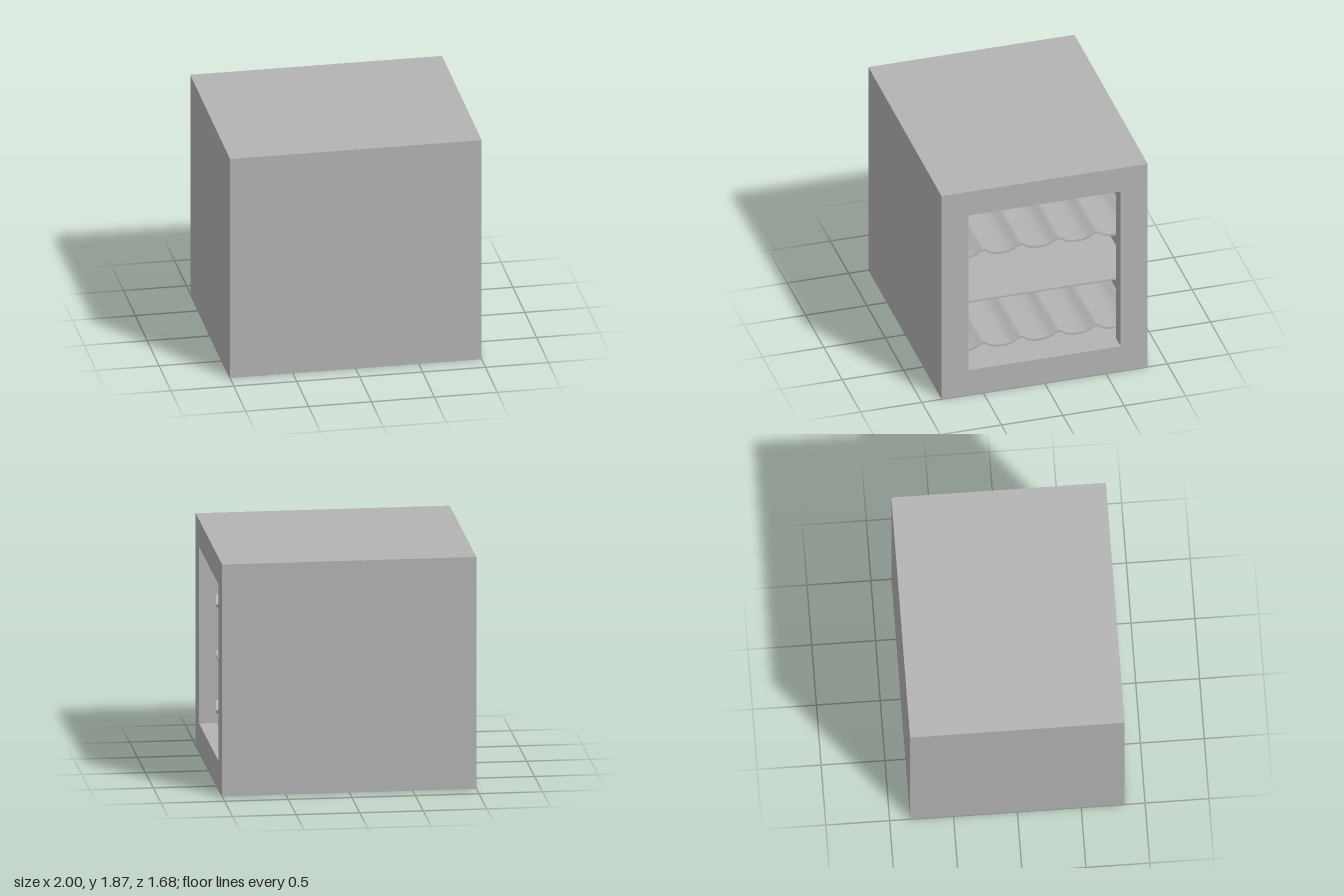
import * as THREE from 'three';
import { toCreasedNormals } from 'three/addons/utils/BufferGeometryUtils.js';

const grey = new THREE.MeshStandardMaterial({ color: 0xb3b3b3 });
grey.name = 'grey';

const LIP = 0.866;    // inner face of the window wall
const BACK = -0.92;   // inner face of the closed end
const HALF = 0.76;    // half width of the cavity

// Rectangular ring in the plane x, corners counter-clockwise seen from +x
const ring = (x, h, y0, y1) => [[x, y0, h], [x, y0, -h], [x, y1, -h], [x, y1, h]];

// Hollow cabinet: outer skin, window rim, reveal and wider cavity
function cabinetGeometry() {
  const rings = [
    ring(-1, 0.84, 0, 1.865),
    ring(1, 0.84, 0, 1.865),
    ring(1, 0.62, 0.228, 1.648),
    ring(LIP, 0.62, 0.228, 1.648),
    ring(LIP, HALF, 0.09, 1.785),
    ring(BACK, HALF, 0.09, 1.785),
  ];
  const pos = [];
  const quad = (a, b, c, d) => pos.push(...a, ...b, ...c, ...a, ...c, ...d);
  for (let i = 0; i < rings.length - 1; i++) {
    const a = rings[i], b = rings[i + 1];
    for (let k = 0; k < 4; k++) {
      const n = (k + 1) % 4;
      quad(a[k], a[n], b[n], b[k]);
    }
  }
  quad(...[...rings[0]].reverse());
  quad(...rings[rings.length - 1]);
  const g = new THREE.BufferGeometry();
  g.setAttribute('position', new THREE.Float32BufferAttribute(pos, 3));
  g.computeVertexNormals();
  return g;
}

// Corrugated shelf: rounded ridges with flat troughs, extruded along x
function wavyShelfGeometry() {
  const ridge = [[-0.11, 0], [-0.05, 0.018], [-0.02, 0.044], [0.02, 0.044], [0.05, 0.018], [0.11, 0]];
  const line = [];
  for (let i = -2.5; i <= 2.5; i++) {
    for (const [u, h] of ridge) {
      const z = i * 0.308 + u;
      if (Math.abs(z) < HALF) line.push(new THREE.Vector2(z, h));
    }
  }
  line.unshift(new THREE.Vector2(-HALF, line[0].y));
  line.push(new THREE.Vector2(HALF, line[line.length - 1].y));
  const top = line.map(p => new THREE.Vector2(p.x, p.y + 0.019)).reverse();
  const g = new THREE.ExtrudeGeometry(new THREE.Shape([...line, ...top]), {
    depth: LIP - BACK, bevelEnabled: false,
  });
  g.rotateY(Math.PI / 2).translate(BACK, 0, 0);
  return toCreasedNormals(g, 0.9);
}

export function createModel() {
  const model = new THREE.Group();
  model.name = 'cabinet';
  const add = (name, geometry, y = 0) => {
    const mesh = new THREE.Mesh(geometry, grey);
    mesh.name = name;
    mesh.position.y = y;
    model.add(mesh);
    return mesh;
  };

  add('cabinetShell', cabinetGeometry());

  // Two corrugated shelves with a flat one between
  const wavy = wavyShelfGeometry();
  add('lowerWavyShelf', wavy, 0.315);
  add('upperWavyShelf', wavy, 1.167);
  add('flatShelf', new THREE.BoxGeometry(LIP - BACK, 0.015, HALF * 2), 0.767)
    .position.x = (LIP + BACK) / 2;

  return model;
}
